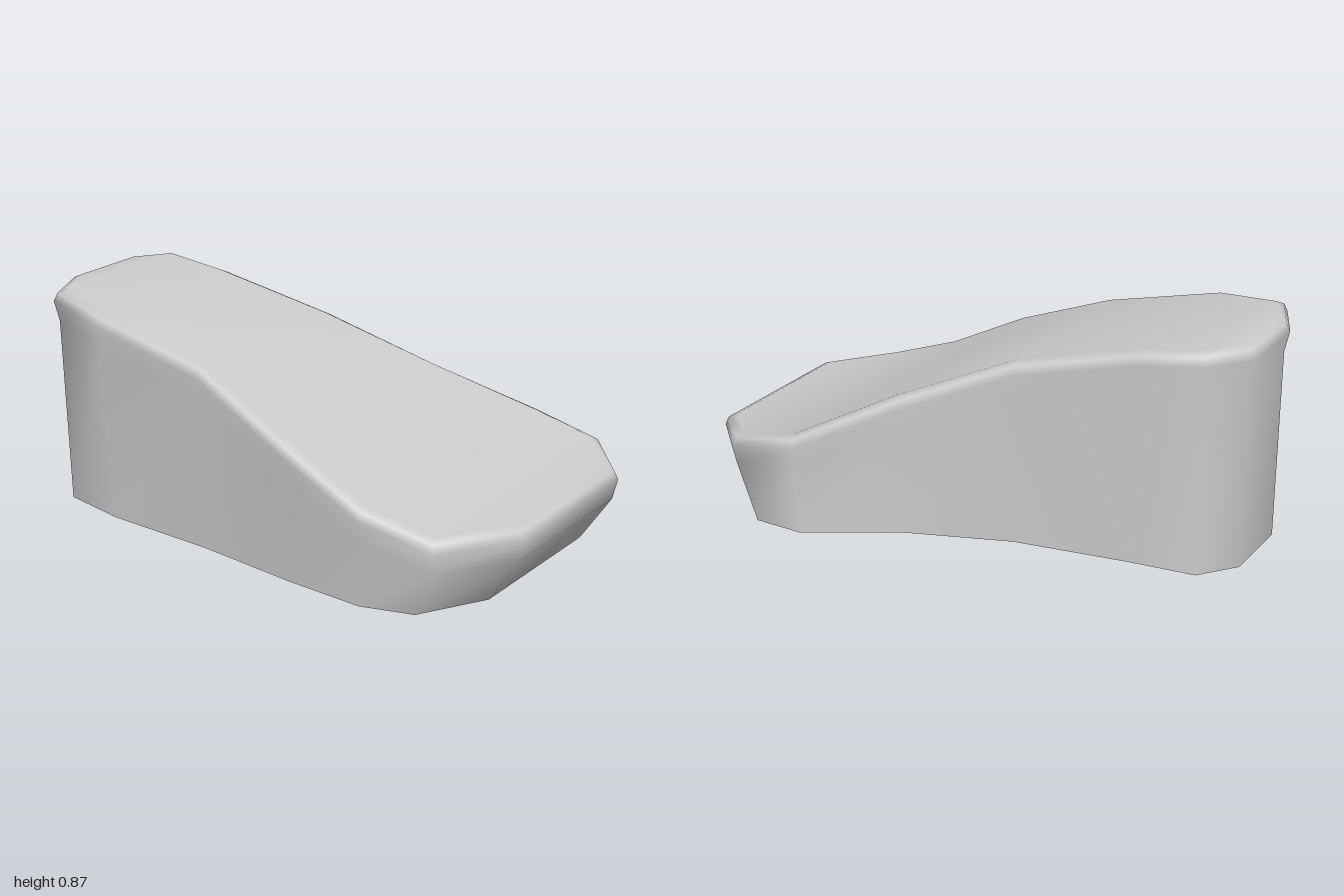
import * as THREE from 'three';

// Rim outline [x, z, height of the top edge], from the heel round the left side to the toe and back
const RIM = [
  [-0.36, -1.0, 0.868], [-0.05, -1.0, 0.868], [0.10, -0.89, 0.87], [0.14, -0.64, 0.836],
  [0.23, -0.20, 0.73], [0.39, 0.20, 0.56], [0.59, 0.54, 0.398], [0.59, 0.82, 0.345],
  [0.41, 1.0, 0.32], [-0.23, 1.0, 0.318], [-0.50, 0.81, 0.312], [-0.575, 0.55, 0.388],
  [-0.592, 0.22, 0.555], [-0.557, -0.19, 0.728], [-0.595, -0.64, 0.836], [-0.545, -0.91, 0.866],
];
// Open lower edge [x, z]
const BASE = [
  [-0.35, -0.99], [-0.06, -0.99], [0.08, -0.88], [0.12, -0.63],
  [0.21, -0.19], [0.37, 0.21], [0.57, 0.53], [0.575, 0.73],
  [0.40, 0.86], [-0.22, 0.86], [-0.47, 0.72], [-0.54, 0.53],
  [-0.545, 0.22], [-0.53, -0.19], [-0.545, -0.64], [-0.515, -0.90],
];
const N = RIM.length;

// Outline moved inward by d and down from the top edge by drop
function insetRing(d, drop) {
  return RIM.map(([x, z, y], i) => {
    const a = RIM[(i + N - 1) % N], b = RIM[(i + 1) % N];
    const n1 = new THREE.Vector2(a[1] - z, x - a[0]).normalize();
    const n2 = new THREE.Vector2(z - b[1], b[0] - x).normalize();
    const n = n1.clone().add(n2).normalize();
    const s = d / n.dot(n1);
    return [x + n.x * s, y - drop, z + n.y * s];
  });
}

export function createModel() {
  const group = new THREE.Group();
  group.name = 'wedgeSole';

  // Lower edge, tucked wall, widest rim, rounded shoulder, top edge
  const rings = [
    BASE.map(([x, z]) => [x, 0, z]),
    insetRing(0.016, 0.125),
    insetRing(0, 0.045),
    insetRing(0.014, 0.014),
    insetRing(0.045, 0),
  ];
  const index = [];
  const quad = (a, b, c, d) => index.push(a, b, c, a, c, d);

  // Side wall and rounded rim
  for (let r = 0; r < rings.length - 1; r++) {
    for (let i = 0; i < N; i++) {
      const j = (i + 1) % N;
      quad(r * N + j, r * N + i, (r + 1) * N + i, (r + 1) * N + j);
    }
  }

  // Sloping top, in strips across from heel to toe
  const top = (rings.length - 1) * N;
  for (let k = 0; k < N / 2 - 1; k++) {
    quad(top + (N - k) % N, top + N - k - 1, top + k + 2, top + k + 1);
  }

  const geometry = new THREE.BufferGeometry();
  geometry.setAttribute('position', new THREE.Float32BufferAttribute(rings.flat(2), 3));
  geometry.setIndex(index);
  geometry.computeVertexNormals();

  const shell = new THREE.Mesh(geometry,
    new THREE.MeshStandardMaterial({ color: 0xcccccc, side: THREE.DoubleSide }));
  shell.name = 'soleShell';
  group.add(shell);
  return group;
}
